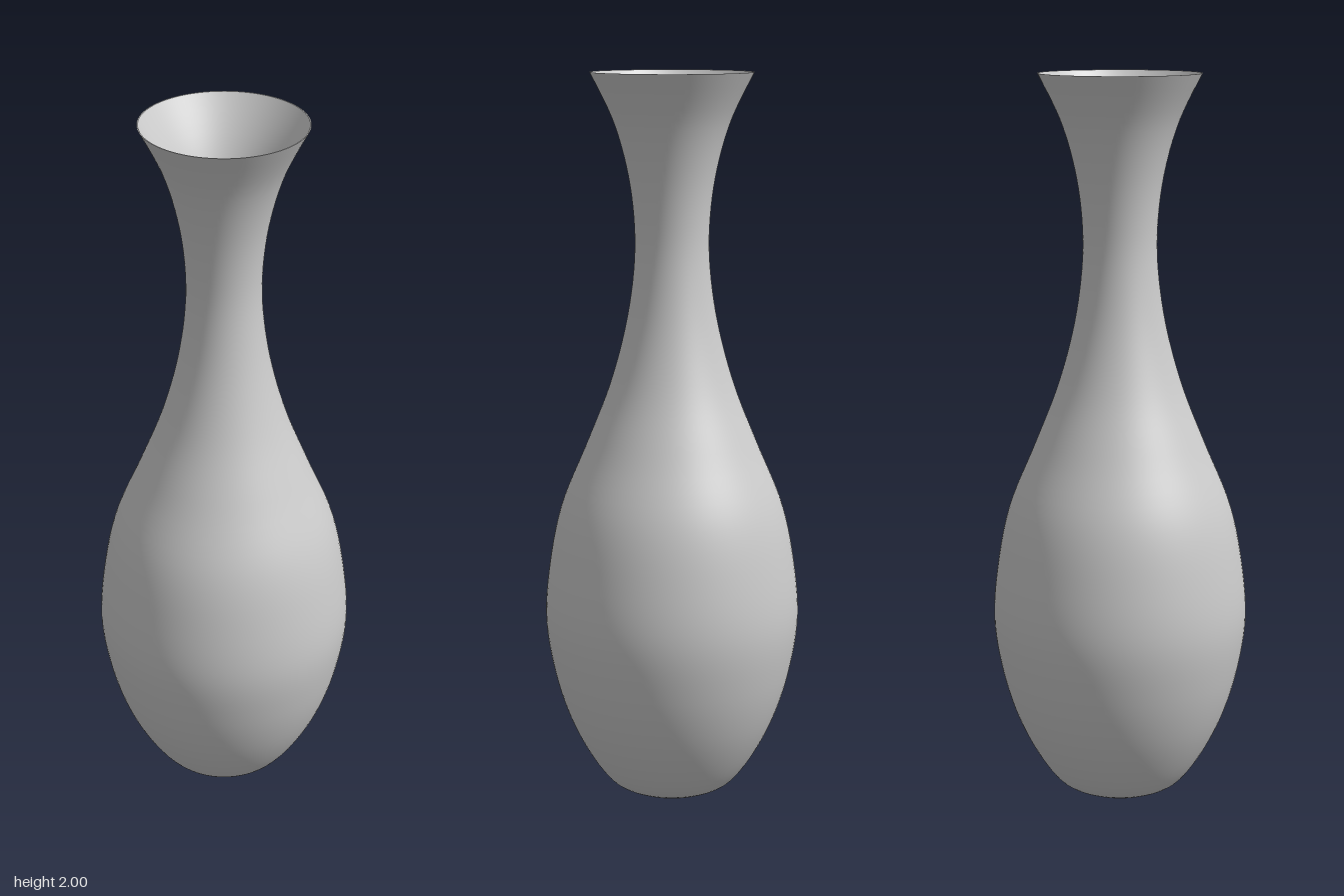
import * as THREE from 'three';

const material = new THREE.MeshStandardMaterial({ color: 0xcccccc });
const SEGMENTS = 96;

// Revolve a profile given as [radius, height] pairs, smoothed when asked
function turned(name, profile, smooth) {
  let points = profile.map(([r, y]) => new THREE.Vector2(r, y));
  if (smooth) points = new THREE.SplineCurve(points).getPoints(80);
  const mesh = new THREE.Mesh(new THREE.LatheGeometry(points, SEGMENTS), material);
  mesh.name = name;
  return mesh;
}

export function createModel() {
  const vase = new THREE.Group();
  vase.name = 'vase';

  // Outer silhouette from foot to lip
  const outer = [
    [0.12, 0], [0.175, 0.03], [0.235, 0.11], [0.29, 0.22], [0.33, 0.35],
    [0.352, 0.5], [0.339, 0.66], [0.305, 0.82], [0.235, 0.99], [0.172, 1.15],
    [0.128, 1.31], [0.105, 1.46], [0.102, 1.59], [0.119, 1.73], [0.158, 1.87], [0.221, 2],
  ];
  // Inner wall from lip down to the floor, thinning towards the lip
  const inner = [
    [0.218, 2], [0.145, 1.87], [0.096, 1.73], [0.075, 1.59], [0.077, 1.46],
    [0.1, 1.31], [0.144, 1.15], [0.207, 0.99], [0.277, 0.82], [0.311, 0.66],
    [0.324, 0.5], [0.302, 0.35], [0.262, 0.22], [0.21, 0.12], [0.16, 0.06], [0.11, 0.03],
  ];

  vase.add(
    turned('body', outer, true),
    turned('innerWall', inner, true),
    turned('rim', [[0.221, 2], [0.218, 2]]),
    turned('base', [[0, 0], [0.12, 0]]),
    turned('innerFloor', [[0.11, 0.03], [0, 0.03]]),
  );
  return vase;
}
